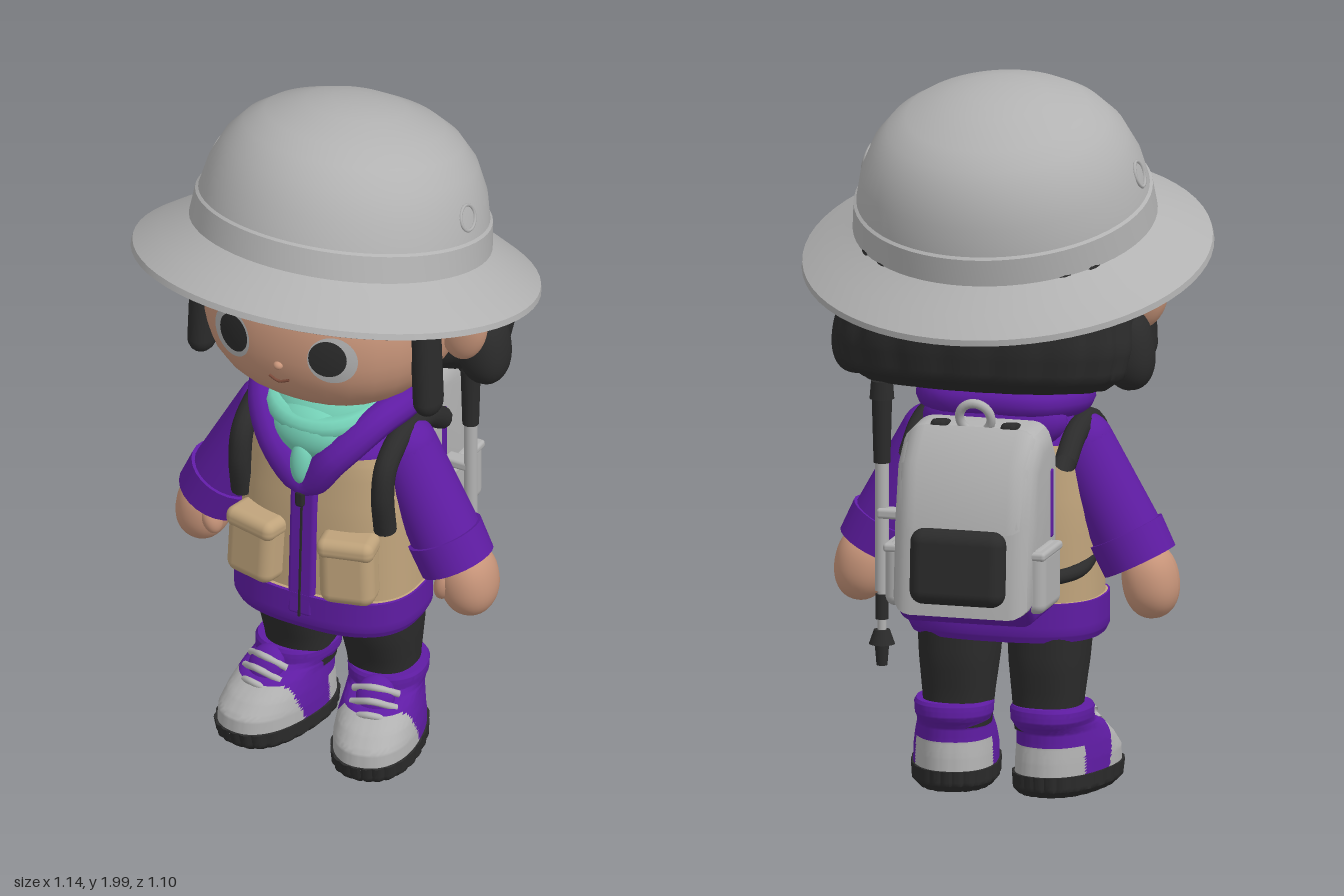
import * as THREE from 'three';
import { toCreasedNormals } from 'three/addons/utils/BufferGeometryUtils.js';
import { RoundedBoxGeometry } from 'three/addons/geometries/RoundedBoxGeometry.js';

const mat = (name, color) => {
  const m = new THREE.MeshStandardMaterial({ color, side: THREE.DoubleSide });
  m.name = name;
  return m;
};
const M = {
  grey: mat('grey', 0xb2b2b2), dark: mat('charcoal', 0x2b2b2b), skin: mat('skin', 0xc8957a),
  purple: mat('purple', 0x5f1ca3), tan: mat('tan', 0xbfa37b), teal: mat('teal', 0x74d0b6),
  lip: mat('lip brown', 0x7a4a3a),
};
const V = (x, y, z) => new THREE.Vector3(x, y, z);

function add(parent, name, geo, material, pos = [0, 0, 0], rot = [0, 0, 0]) {
  const m = new THREE.Mesh(geo, material);
  m.name = name;
  m.position.set(...pos);
  m.rotation.set(...rot);
  parent.add(m);
  return m;
}

// Rounded ellipsoid; p above 2 makes it boxier
function blob(rx, ry, rz, p = 2) {
  const g = new THREE.SphereGeometry(1, 32, 22), a = g.attributes.position;
  for (let i = 0; i < a.count; i++) {
    const v = V().fromBufferAttribute(a, i);
    const k = (Math.abs(v.x) ** p + Math.abs(v.y) ** p + Math.abs(v.z) ** p) ** (-1 / p);
    a.setXYZ(i, v.x * k * rx, v.y * k * ry, v.z * k * rz);
  }
  g.computeVertexNormals();
  return g;
}

// Stack of superellipse rings [y, rx, rz, cz]; pick(x, y, z) chooses a material index per face
function loft(rings, { p = 2, n = 48, sub = 4, ripple = 0, waves = 0, pick = null, crease = 0.7 } = {}) {
  const rows = [];
  rings.forEach((r, j) => {
    if (j) for (let s = 1; s <= sub; s++) rows.push(r.map((v, k) => THREE.MathUtils.lerp(rings[j - 1][k], v, s / sub)));
    else rows.push(r);
  });
  const pos = [], buckets = [[], []];
  for (const [y, rx, rz, cz] of rows) for (let i = 0; i < n; i++) {
    const a = i / n * Math.PI * 2, c = Math.cos(a), s = Math.sin(a);
    const k = (Math.abs(c) ** p + Math.abs(s) ** p) ** (-1 / p) * (1 - ripple * Math.abs(Math.cos(a * waves / 2)) ** 4);
    pos.push(c * k * rx, y, s * k * rz + cz);
  }
  const tri = (...t) => {
    const mid = [0, 1, 2].map(d => t.reduce((sum, v) => sum + pos[v * 3 + d], 0) / 3);
    buckets[pick ? pick(...mid) : 0].push(...t);
  };
  for (let j = 0; j < rows.length - 1; j++) for (let i = 0; i < n; i++) {
    const a = j * n + i, b = j * n + (i + 1) % n;
    tri(a, a + n, b);
    tri(b, a + n, b + n);
  }
  const top = (rows.length - 1) * n, cap = pos.length / 3, last = rows[rows.length - 1];
  pos.push(0, rows[0][0], rows[0][3], 0, last[0], last[3]);
  for (let i = 0; i < n; i++) {
    tri(cap, i, (i + 1) % n);
    tri(cap + 1, top + (i + 1) % n, top + i);
  }
  const g = new THREE.BufferGeometry();
  g.setAttribute('position', new THREE.Float32BufferAttribute(pos, 3));
  g.setIndex([...buckets[0], ...buckets[1]]);
  if (pick) {
    g.addGroup(0, buckets[0].length, 0);
    g.addGroup(buckets[0].length, buckets[1].length, 1);
  }
  return toCreasedNormals(g, crease);
}

const tube = (pts, r, closed = false) =>
  new THREE.TubeGeometry(new THREE.CatmullRomCurve3(pts.map(q => V(...q)), closed), 48, r, 12, closed);

// Tapered cylinder between two points
function limb(parent, name, a, b, ra, rb, material) {
  const A = V(...a), B = V(...b), d = B.clone().sub(A);
  const m = add(parent, name, new THREE.CylinderGeometry(rb, ra, d.length(), 24), material);
  m.position.copy(A).add(B).multiplyScalar(0.5);
  m.quaternion.setFromUnitVectors(V(0, 1, 0), d.normalize());
}

// Side outline [depth behind centre, height] extruded across x
function sidePanel(pts, width, bevel) {
  const g = new THREE.ExtrudeGeometry(new THREE.Shape(pts.map(q => new THREE.Vector2(...q))),
    { depth: width - 2 * bevel, bevelSize: bevel, bevelThickness: bevel, bevelSegments: 5 });
  g.translate(0, 0, -(width - 2 * bevel) / 2).rotateY(Math.PI / 2);
  return toCreasedNormals(g, 0.8);
}

function buildHat(g) {
  const profile = [[0, 0.46], [0.14, 0.45], [0.25, 0.4], [0.33, 0.32], [0.37, 0.24], [0.395, 0.09], [0.45, 0.06], [0.555, -0.01],
    [0.568, -0.005], [0.565, 0.012], [0.5, 0.055], [0.45, 0.085], [0.42, 0.105], [0.412, 0.18], [0.404, 0.186],
    [0.388, 0.26], [0.352, 0.34], [0.305, 0.395], [0.25, 0.432], [0.14, 0.474], [0.07, 0.486], [0, 0.49]];
  const hat = toCreasedNormals(new THREE.LatheGeometry(profile.map(q => new THREE.Vector2(...q)), 64), 0.6);
  add(g, 'sunHat', hat, M.grey, [0, 1.5, 0], [-0.255, 0, 0]);
  for (const s of [-1, 1]) {
    const ring = new THREE.TorusGeometry(0.036, 0.005, 6, 20).rotateY(Math.PI / 2);
    add(g, 'hatVent', ring, M.grey, [s * 0.388, 1.75, -0.04], [0, 0, s * 0.3]);
  }
}

function buildHead(g) {
  const rx = 0.355, ry = 0.28, rz = 0.34, p = 2.3, cy = 1.42;
  add(g, 'head', blob(rx, ry, rz, p), M.skin, [0, cy, 0]);
  // Disc bent onto the face
  const faceDisc = (name, x, y, w, h, lift, material) => {
    const geo = new THREE.RingGeometry(0, 1, 32, 4), a = geo.attributes.position;
    for (let i = 0; i < a.count; i++) {
      const X = x + a.getX(i) * w, Y = y + a.getY(i) * h;
      a.setXYZ(i, X, Y, rz * (1 - Math.abs(X / rx) ** p - Math.abs((Y - cy) / ry) ** p) ** (1 / p) + lift);
    }
    geo.computeVertexNormals();
    add(g, name, geo, material);
  };
  for (const s of [-1, 1]) {
    faceDisc('eyeWhite', s * 0.156, 1.413, 0.066, 0.074, 0.004, M.grey);
    faceDisc('pupil', s * 0.146, 1.42, 0.051, 0.057, 0.008, M.dark);
    add(g, 'ear', blob(0.07, 0.11, 0.05), M.skin, [s * 0.392, 1.42, -0.01], [0, 0, -s * 0.12]);
    const lock = new THREE.CapsuleGeometry(0.05, 0.3, 8, 16).scale(0.8, 1, 1.05);
    add(g, 'sideLock', lock, M.dark, [s * 0.345, 1.39, 0.12], [0, 0, s * 0.04]);
    add(g, 'hairTuft', blob(0.072, 0.115, 0.075, 2.3), M.dark, [s * 0.385, 1.28, -0.14], [0, 0, s * 0.12]);
  }
  add(g, 'nose', blob(0.014, 0.012, 0.012), M.skin, [0, 1.365, 0.338]);
  add(g, 'mouth', tube([[-0.03, 1.322, 0.332], [0, 1.312, 0.334], [0.03, 1.322, 0.332]], 0.004), M.lip);
  // Hair
  const cap = new THREE.SphereGeometry(1, 40, 12, 0, Math.PI * 2, 0, 1.08).scale(0.39, 0.31, 0.365);
  add(g, 'hairCap', cap, M.dark, [0, 1.42, -0.01]);
  for (let i = -3; i <= 3; i++) {
    const a = i * 0.34;
    add(g, 'fringeLobe', blob(0.085, 0.09 + 0.012 * (i % 2), 0.03, 2.3), M.dark,
      [0.345 * Math.sin(a), 1.59 + 0.006 * Math.abs(i), 0.315 * Math.cos(a) - 0.008], [-0.25 * Math.cos(a), a, 0]);
  }
  add(g, 'backHair', loft([[1.165, 0.26, 0.09, -0.2], [1.18, 0.35, 0.14, -0.21], [1.22, 0.405, 0.175, -0.22], [1.3, 0.425, 0.195, -0.215],
    [1.42, 0.415, 0.235, -0.18], [1.56, 0.37, 0.27, -0.13]], { n: 128, ripple: 0.03, waves: 18, p: 2.2, crease: 0.9 }), M.dark);
}

function buildJacket(g) {
  add(g, 'vestAndHem', loft([[0.44, 0.265, 0.19, 0.015], [0.46, 0.275, 0.198, 0.015], [0.55, 0.275, 0.198, 0.015],
    [0.552, 0.265, 0.185, 0.01], [0.8, 0.255, 0.182, 0.005], [0.96, 0.235, 0.172, 0], [1.0, 0.22, 0.165, 0],
    [1.07, 0.17, 0.13, -0.01], [1.11, 0.1, 0.09, -0.01]],
    { p: 2.6, n: 64, pick: (x, y) => (y < 0.551 || y > 0.99 ? 1 : 0) }), [M.tan, M.purple]);
  add(g, 'zipPlacket', new RoundedBoxGeometry(0.08, 0.46, 0.03, 2, 0.012), M.purple, [0, 0.71, 0.19], [-0.045, 0, 0]);
  add(g, 'zipper', new THREE.BoxGeometry(0.006, 0.4, 0.008), M.dark, [0, 0.68, 0.206], [-0.045, 0, 0]);
  add(g, 'zipPull', new RoundedBoxGeometry(0.026, 0.05, 0.02, 2, 0.008), M.dark, [0, 0.86, 0.21]);
  // Hood collar and scarf
  const half = [[0.09, 1.0, 0.18], [0.175, 1.095, 0.09], [0.2, 1.11, -0.05], [0.13, 1.115, -0.16]];
  const flip = half.map(([x, y, z]) => [-x, y, z]).reverse();
  add(g, 'hoodRim', tube([[0, 0.9, 0.175], ...half, [0, 1.12, -0.185], ...flip], 0.047, true), M.purple);
  add(g, 'hood', blob(0.205, 0.1, 0.1), M.purple, [0, 1.06, -0.125], [0.1, 0, 0]);
  add(g, 'scarf', loft([[0.98, 0.12, 0.11, 0.04], [1.07, 0.16, 0.145, 0.045], [1.13, 0.17, 0.14, 0.02], [1.18, 0.16, 0.12, 0]]), M.teal);
  add(g, 'scarfFold', new THREE.TorusGeometry(0.15, 0.034, 10, 36).scale(1, 0.95, 1), M.teal, [0, 1.115, 0.04], [Math.PI / 2 + 0.25, 0, 0]);
  add(g, 'scarfDrape', blob(0.125, 0.085, 0.08), M.teal, [0, 1.05, 0.135], [-0.3, 0, 0]);
  add(g, 'scarfTail', blob(0.032, 0.065, 0.025), M.teal, [0, 0.975, 0.205], [-0.1, 0, 0]);
  for (const s of [-1, 1]) {
    // Vest pockets
    const pocket = new THREE.Group();
    pocket.name = 'vestPocket';
    pocket.position.set(s * 0.143, 0.67, 0.192);
    pocket.rotation.set(-0.03, s * 0.2, s * 0.04);
    g.add(pocket);
    add(pocket, 'pocketBag', new RoundedBoxGeometry(0.158, 0.19, 0.1, 4, 0.035), M.tan, [0, -0.01, 0]);
    add(pocket, 'pocketFlap', new RoundedBoxGeometry(0.164, 0.06, 0.106, 4, 0.026), M.tan, [0, 0.07, 0.002]);
    // Sleeve, cuff and hand
    add(g, 'shoulder', blob(0.09, 0.09, 0.09), M.purple, [s * 0.213, 0.975, -0.005]);
    limb(g, 'sleeve', [s * 0.213, 0.975, -0.005], [s * 0.365, 0.68, 0], 0.09, 0.102, M.purple);
    limb(g, 'cuff', [s * 0.337, 0.735, 0], [s * 0.378, 0.652, 0], 0.109, 0.107, M.purple);
    add(g, 'hand', blob(0.077, 0.105, 0.088, 2.2), M.skin, [s * 0.411, 0.602, -0.008], [0, 0, s * 0.15]);
    add(g, 'thumb', blob(0.028, 0.05, 0.035), M.skin, [s * 0.362, 0.6, 0.045], [0, 0, -s * 0.25]);
  }
}

function buildLegs(g) {
  for (const s of [-1, 1]) {
    const leg = new THREE.Group();
    leg.name = 'leg';
    leg.position.x = s * 0.128;
    g.add(leg);
    add(leg, 'trouserLeg', loft([[0.18, 0.09, 0.09, -0.045], [0.27, 0.098, 0.1, -0.04], [0.37, 0.108, 0.125, -0.03], [0.48, 0.115, 0.14, -0.02]], { p: 2.4 }), M.dark);
    const boot = new THREE.Group();
    boot.name = 'boot';
    boot.position.x = s * 0.022;
    boot.rotation.y = s * 0.22;
    leg.add(boot);
    add(boot, 'sole', loft([[0, 0.105, 0.18, 0.04], [0.018, 0.122, 0.2, 0.043], [0.06, 0.124, 0.208, 0.046]],
      { p: 2.4, n: 96, ripple: 0.03, waves: 24 }), M.dark);
    add(boot, 'bootUpper', loft([[0.05, 0.118, 0.2, 0.046], [0.1, 0.117, 0.195, 0.045], [0.14, 0.112, 0.172, 0.028],
      [0.18, 0.104, 0.145, 0.0], [0.2, 0.104, 0.125, -0.035], [0.21, 0.108, 0.12, -0.045], [0.24, 0.11, 0.118, -0.045], [0.25, 0.104, 0.112, -0.045]],
      { p: 2.3, n: 96, sub: 6, pick: (x, y, z) => (z > 0.04 + y * 0.4 && y < 0.173 || z < -0.05 && y < 0.14 ? 1 : 0) }), [M.purple, M.grey]);
    add(boot, 'tongue', blob(0.055, 0.06, 0.035), M.purple, [0, 0.2, 0.09], [-0.6, 0, 0]);
    for (let i = 0; i < 3; i++)
      add(boot, 'lace', tube([[-0.065, 0.15 + i * 0.03, 0.13 - i * 0.025], [0, 0.175 + i * 0.03, 0.155 - i * 0.025], [0.065, 0.15 + i * 0.03, 0.13 - i * 0.025]], 0.01), M.grey);
  }
}

function buildBackpack(g) {
  const body = [[0.23, 0.62], [0.23, 0.98], [0.26, 1.02], [0.33, 1.015], [0.38, 0.965], [0.41, 0.82], [0.425, 0.63]];
  add(g, 'packBody', sidePanel(body, 0.4, 0.06), M.grey);
  add(g, 'packBase', sidePanel([[0.21, 0.585], [0.21, 0.7], [0.24, 0.62], [0.42, 0.605], [0.39, 0.58]], 0.395, 0.04), M.purple);
  add(g, 'packFlap', sidePanel([[0.32, 0.97], [0.27, 1.02], [0.335, 1.02], [0.388, 0.965], [0.413, 0.87], [0.37, 0.88]], 0.385, 0.062), M.grey);
  add(g, 'backPad', new RoundedBoxGeometry(0.27, 0.21, 0.08, 4, 0.038), M.dark, [0, 0.715, -0.49], [0.06, 0, 0]);
  add(g, 'packHandle', new THREE.TorusGeometry(0.045, 0.013, 10, 24), M.grey, [0, 1.1, -0.32], [-0.3, 0, 0]);
  for (const s of [-1, 1]) {
    add(g, 'sidePocket', new RoundedBoxGeometry(0.06, 0.18, 0.18, 4, 0.028), M.grey, [s * 0.2, 0.67, -0.345]);
    add(g, 'pocketBand', new RoundedBoxGeometry(0.064, 0.025, 0.186, 2, 0.01), M.grey, [s * 0.2, 0.745, -0.345]);
    add(g, 'sidePiping', new RoundedBoxGeometry(0.03, 0.2, 0.035, 2, 0.012), M.purple, [s * 0.188, 0.86, -0.255]);
    add(g, 'buckle', new RoundedBoxGeometry(0.045, 0.05, 0.09, 2, 0.015), M.dark, [s * 0.1, 1.065, -0.31], [0.2, 0, 0]);
    const strap = tube([[0, 0.78, 0.13], [0, 0.9, 0.145], [0, 0.98, 0.125], [0, 1.035, 0.04], [0, 1.02, -0.1], [0, 0.96, -0.2]], 0.032);
    add(g, 'shoulderStrap', strap, M.dark, [s * 0.222, 0, 0]);
    add(g, 'lowerStrap', tube([[s * 0.245, 0.68, 0.02], [s * 0.235, 0.64, -0.1], [s * 0.17, 0.63, -0.21]], 0.02), M.dark);
  }
  // Trekking pole: [bottom, top, lower radius, upper radius, material]
  const pole = [[0.37, 0.43, 0.015, 0.02, M.dark], [0.43, 0.47, 0.036, 0.022, M.dark], [0.47, 0.6, 0.012, 0.012, M.grey],
    [0.5, 0.57, 0.018, 0.018, M.dark], [0.58, 0.96, 0.019, 0.019, M.grey], [0.94, 1.12, 0.023, 0.028, M.dark], [1.12, 1.17, 0.034, 0.03, M.dark]];
  for (const [y0, y1, r0, r1, m] of pole) limb(g, 'polePiece', [0.29, y0, -0.24], [0.29, y1, -0.24], r0, r1, m);
  add(g, 'poleClip', new RoundedBoxGeometry(0.09, 0.03, 0.045, 2, 0.01), M.grey, [0.255, 0.8, -0.245]);
}

export function createModel() {
  const model = new THREE.Group();
  model.name = 'hiker';
  const parts = { hat: buildHat, headAndHair: buildHead, jacket: buildJacket, legs: buildLegs, backpack: buildBackpack };
  for (const [name, build] of Object.entries(parts)) {
    const g = new THREE.Group();
    g.name = name;
    build(g);
    model.add(g);
  }
  return model;
}
